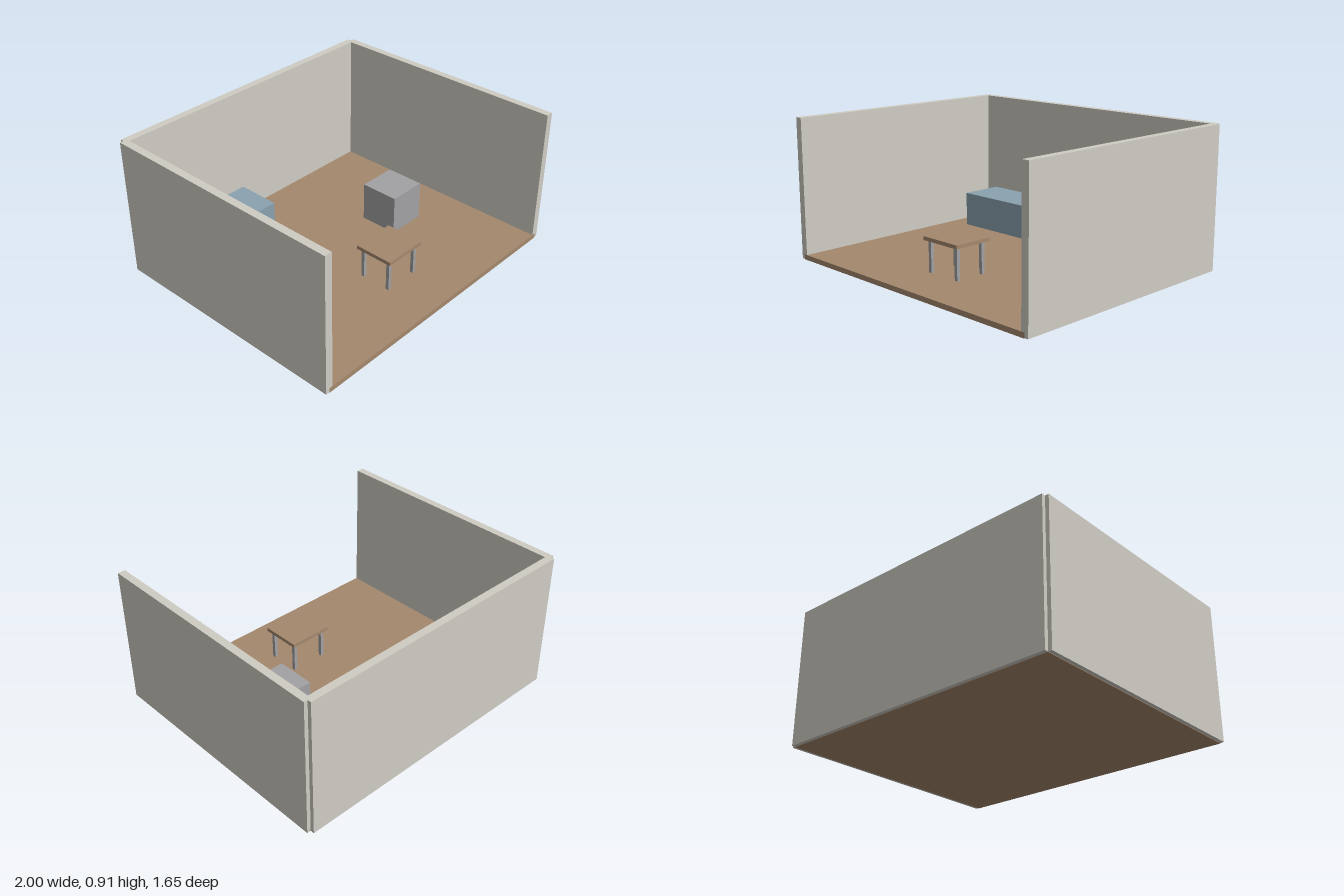
import * as THREE from 'three';

export function createModel() {
  const room = new THREE.Group();
  room.name = 'room';

  const material = (name, color) => {
    const m = new THREE.MeshStandardMaterial({ color });
    m.name = name;
    return m;
  };
  const plaster = material('plaster', 0xcfccc3);
  const wood = material('wood', 0xa4886d);
  const fabric = material('blue fabric', 0x8aa2b0);
  const grey = material('grey', 0xa2a1a3);

  // Box centred on x and z, resting on height y
  const block = (name, mat, [w, h, d], [x, y, z], parent = room) => {
    const mesh = new THREE.Mesh(new THREE.BoxGeometry(w, h, d), mat);
    mesh.name = name;
    mesh.position.set(x, y + h / 2, z);
    parent.add(mesh);
    return mesh;
  };

  const midZ = 0.012;      // centre of the floor
  const floorTop = 0.0325;
  const wallBase = 0.003;
  const wallHeight = 0.907;
  const wall = 0.049;      // wall thickness

  // Shell: floor and three walls, open at the front
  block('floor', wood, [1.951, floorTop, 1.627], [0, 0, midZ]);
  block('backWall', plaster, [1.951, wallHeight, wall], [0, wallBase, -0.8005]);
  for (const [name, side] of [['leftWall', 1], ['rightWall', -1]]) {
    block(name, plaster, [wall, wallHeight, 1.625], [side * 0.9755, wallBase, midZ]);
  }

  // Furniture blocks
  block('sofa', fabric, [0.65, 0.228, 0.292], [-0.488, floorTop, -0.573]);
  block('cabinet', grey, [0.26, 0.26, 0.26], [0.488, floorTop, midZ]);

  // Table with four square legs
  const table = new THREE.Group();
  table.name = 'table';
  table.position.set(0, floorTop, 0.402);
  room.add(table);
  block('tableTop', wood, [0.293, 0.024, 0.26], [0, 0.201, 0], table);
  for (const sx of [-1, 1]) {
    for (const sz of [-1, 1]) {
      block('tableLeg', grey, [0.022, 0.201, 0.022], [sx * 0.115, 0, sz * 0.098], table);
    }
  }

  return room;
}
